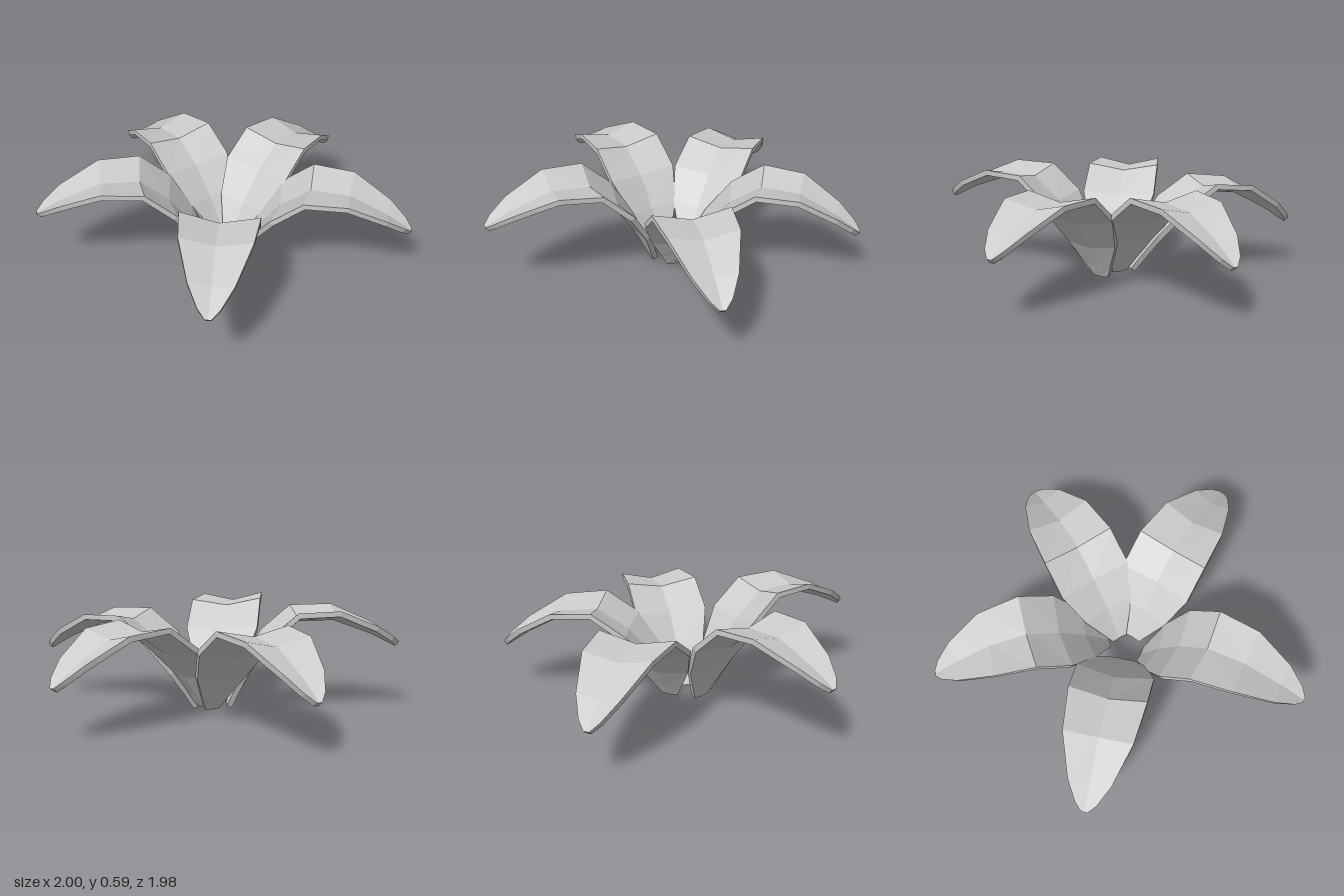
import * as THREE from 'three';

// Leaf stations: distance along, height of rim, half width, cup depth of midrib
const STATIONS = [
  [0.01, 0.005, 0.045, 0.004],
  [0.045, 0.08, 0.082, 0.012],
  [0.11, 0.21, 0.15, 0.025],
  [0.235, 0.38, 0.21, 0.035],
  [0.41, 0.515, 0.207, 0.042],
  [0.64, 0.51, 0.182, 0.042],
  [0.85, 0.405, 0.112, 0.028],
  [0.945, 0.335, 0.055, 0.015],
  [0.98, 0.30, 0.015, 0.003],
];
const THICKNESS = 0.03;

// Closed, cupped leaf: each ring runs across the top and back along the underside
function leafGeometry() {
  const last = STATIONS.length - 1;
  const rings = STATIONS.map(([u, y, w, cup], i) => {
    const a = STATIONS[Math.max(i - 1, 0)];
    const b = STATIONS[Math.min(i + 1, last)];
    const length = Math.hypot(b[0] - a[0], b[1] - a[1]);
    const nx = -(b[1] - a[1]) / length;
    const ny = (b[0] - a[0]) / length;
    const point = (drop, z) => [u - nx * drop, y - ny * drop, z];
    return [
      point(0, -w), point(cup, 0), point(0, w),
      point(THICKNESS, w), point(cup + THICKNESS, 0), point(THICKNESS, -w),
    ];
  });

  const positions = [];
  const quad = (a, b, c, d) => positions.push(...a, ...b, ...c, ...a, ...c, ...d);
  for (let i = 0; i < last; i++) {
    for (let k = 0; k < 6; k++) {
      const n = (k + 1) % 6;
      quad(rings[i][k], rings[i][n], rings[i + 1][n], rings[i + 1][k]);
    }
  }
  // End caps
  const s = rings[0];
  const e = rings[last];
  quad(s[1], s[0], s[5], s[4]);
  quad(s[2], s[1], s[4], s[3]);
  quad(e[0], e[1], e[4], e[5]);
  quad(e[1], e[2], e[3], e[4]);

  const geometry = new THREE.BufferGeometry();
  geometry.setAttribute('position', new THREE.Float32BufferAttribute(positions, 3));
  geometry.computeVertexNormals();
  return geometry;
}

// Base position, heading (degrees from +x towards +z), upward tilt and roll
const LEAVES = [
  { name: 'leftLeaf', base: [0.02, 0, -0.042], heading: 0, tilt: 0, roll: 0 },
  { name: 'frontLeaf', base: [-0.035, 0.012, 0.042], heading: 81.3, tilt: 4.5, roll: -2.5 },
  { name: 'rightLeaf', base: [-0.1, 0.01, -0.015], heading: 158.5, tilt: 3.5, roll: 0 },
  { name: 'backRightLeaf', base: [-0.055, 0.03, -0.14], heading: 220.5, tilt: -4, roll: 0 },
  { name: 'backLeftLeaf', base: [-0.025, 0.028, -0.09], heading: 295.6, tilt: -3.5, roll: 0 },
];

export function createModel() {
  const model = new THREE.Group();
  model.name = 'leafRosette';
  const geometry = leafGeometry();
  const material = new THREE.MeshStandardMaterial({ color: 0xcccccc, flatShading: true });
  const rad = THREE.MathUtils.degToRad;

  for (const { name, base, heading, tilt, roll } of LEAVES) {
    const leaf = new THREE.Mesh(geometry, material);
    leaf.name = name;
    leaf.position.set(...base);
    leaf.rotation.set(rad(roll), -rad(heading), rad(tilt), 'YZX');
    model.add(leaf);
  }
  return model;
}
